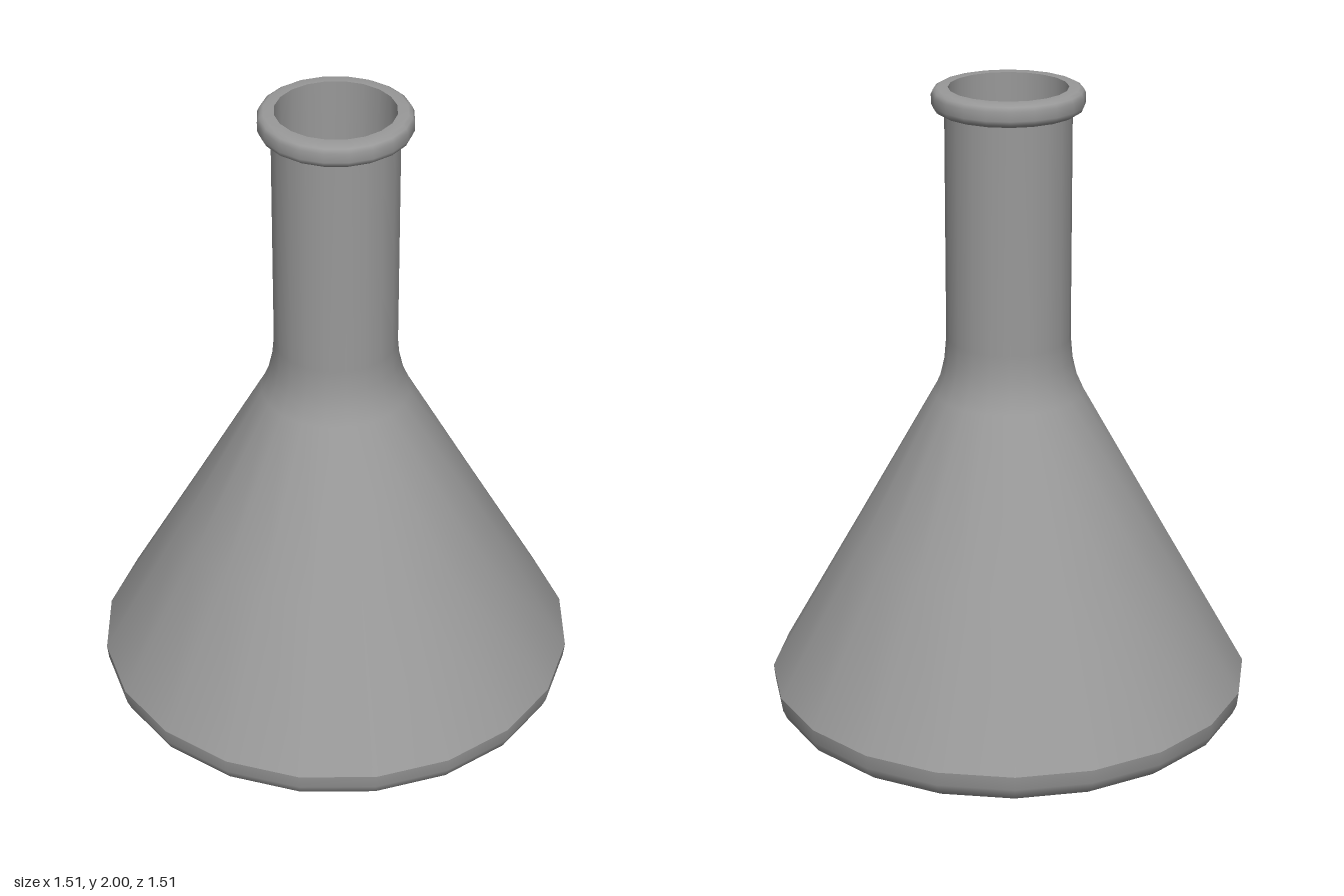
import * as THREE from 'three';

const SIDES = 20;
const material = new THREE.MeshStandardMaterial({ color: 0x999999, side: THREE.DoubleSide });

// Smooth surface of revolution; separate parts meet in sharp edges
function turned(name, profile) {
  const points = profile.map(([r, y]) => new THREE.Vector2(r, y));
  const mesh = new THREE.Mesh(new THREE.LatheGeometry(points, SIDES), material);
  mesh.name = name;
  return mesh;
}

export function createModel() {
  const flask = new THREE.Group();
  flask.name = 'conicalFlask';

  // Flat underside with a rounded heel
  flask.add(turned('base', [
    [0, 0], [0.64, 0], [0.682, 0.003], [0.713, 0.012], [0.736, 0.03], [0.749, 0.06], [0.754, 0.105],
  ]));

  // Sloping body blending into the straight neck
  flask.add(turned('bodyAndNeck', [
    [0.754, 0.105], [0.493, 0.573], [0.232, 1.045], [0.21, 1.095], [0.197, 1.15], [0.191, 1.22], [0.191, 1.935],
  ]));

  // Rolled rim, from its underside over to the mouth
  flask.add(turned('rim', [
    [0.191, 1.93], [0.212, 1.93], [0.224, 1.938], [0.23, 1.952], [0.23, 1.98],
    [0.224, 1.993], [0.212, 2], [0.18, 2],
  ]));

  // Inner wall, following the outside at the thickness of the glass
  flask.add(turned('innerWall', [
    [0.18, 2], [0.18, 1.22], [0.185, 1.15], [0.197, 1.095], [0.218, 1.045], [0.73, 0.115],
  ]));

  // Inner floor
  flask.add(turned('innerFloor', [
    [0.73, 0.115], [0.727, 0.07], [0.715, 0.042], [0.695, 0.025], [0.65, 0.016], [0, 0.016],
  ]));

  return flask;
}
